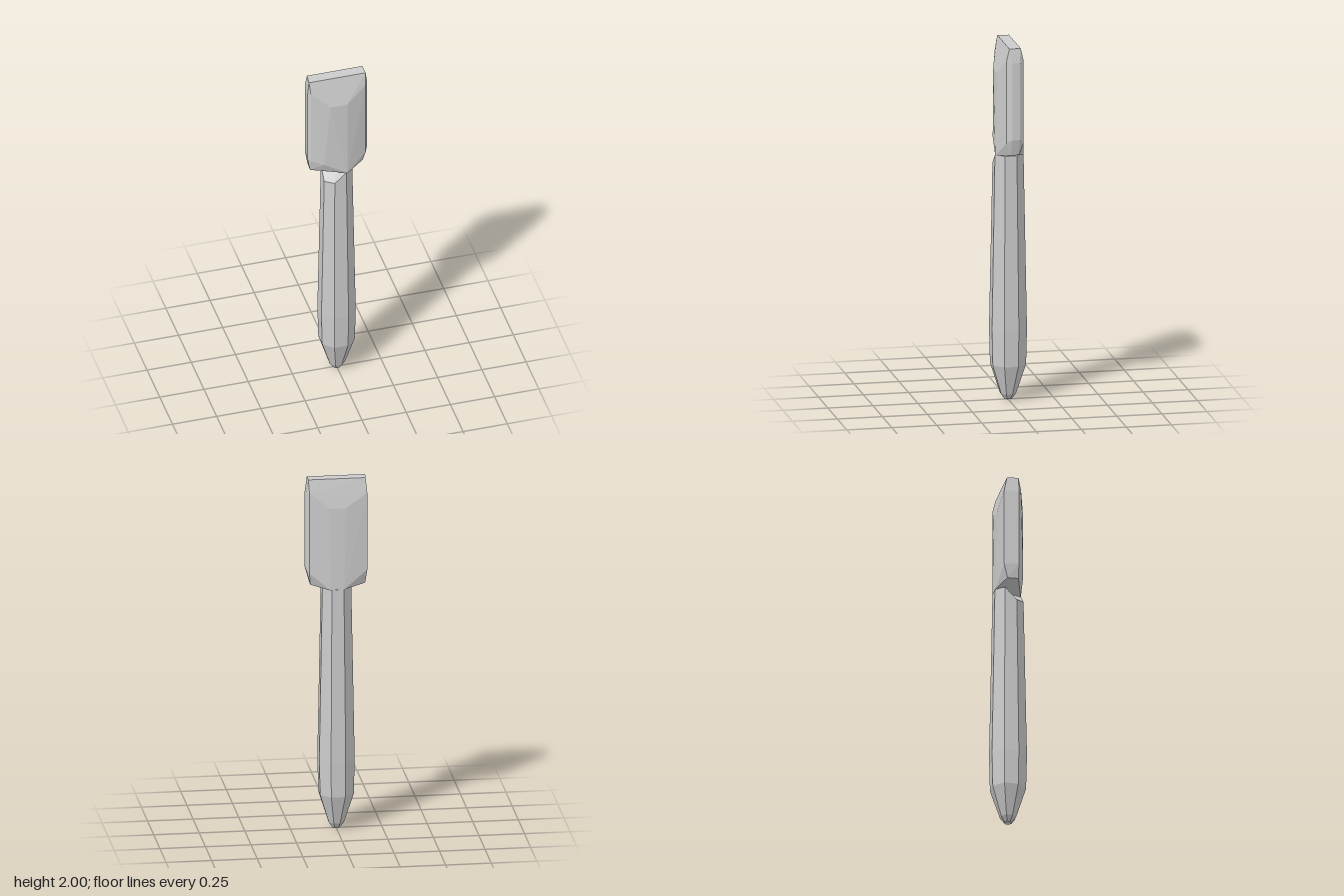
import * as THREE from 'three';
import { ConvexGeometry } from 'three/addons/geometries/ConvexGeometry.js';

const material = new THREE.MeshStandardMaterial({ color: 0xcccccc, flatShading: true });

function part(name, geometry) {
  const mesh = new THREE.Mesh(geometry, material);
  mesh.name = name;
  return mesh;
}

// Eight-sided tapering handle with one corner of its top cut down
function handleGeometry() {
  const profile = [
    [0, 0], [0.022, 0.003], [0.045, 0.035], [0.1, 0.2], [0.105, 0.4], [0.086, 1.38], [0, 1.38],
  ].map(([r, y]) => new THREE.Vector2(r, y));
  const geometry = new THREE.LatheGeometry(profile, 8, Math.PI / 8);
  const p = geometry.attributes.position;
  for (let i = 0; i < p.count; i++) {
    if (p.getY(i) > 1.3 && p.getX(i) < -0.02 && p.getZ(i) > 0.02) {
      p.setY(i, p.getX(i) < -0.06 ? 1.31 : 1.32);
    }
  }
  return geometry;
}

// Faceted paddle head: a wide block, bulging front and back, thin at the top
function headGeometry() {
  const corners = [
    // top edge
    [-0.163, 2, 0.025], [-0.157, 2, -0.038], [0.157, 2, 0.025], [0.157, 2, -0.038],
    // left side panel
    [0.17, 1.92, 0.012], [0.17, 1.92, -0.03], [0.17, 1.49, 0.012], [0.17, 1.49, -0.03],
    [0.153, 1.93, 0.04], [0.153, 1.93, -0.055], [0.153, 1.47, 0.04], [0.153, 1.47, -0.055],
    [0.145, 1.4, 0.015], [0.145, 1.4, -0.03],
    // right side panel
    [-0.172, 1.91, 0.025], [-0.172, 1.48, 0.025], [-0.157, 1.93, 0.04], [-0.157, 1.47, 0.04],
    [-0.164, 1.92, -0.055], [-0.164, 1.48, -0.055], [-0.157, 1.4, 0.025], [-0.155, 1.4, -0.035],
    // front bulge
    [-0.055, 1.84, 0.071], [0.04, 1.84, 0.071], [-0.09, 1.45, 0.066], [0.04, 1.376, 0.079],
    // back bulge
    [-0.045, 1.84, -0.071], [0.045, 1.84, -0.071], [-0.035, 1.38, -0.078], [0.04, 1.376, -0.078],
  ];
  return new ConvexGeometry(corners.map((c) => new THREE.Vector3(...c)));
}

export function createModel() {
  const group = new THREE.Group();
  group.name = 'paddleTool';
  group.add(part('handle', handleGeometry()), part('head', headGeometry()));
  return group;
}
